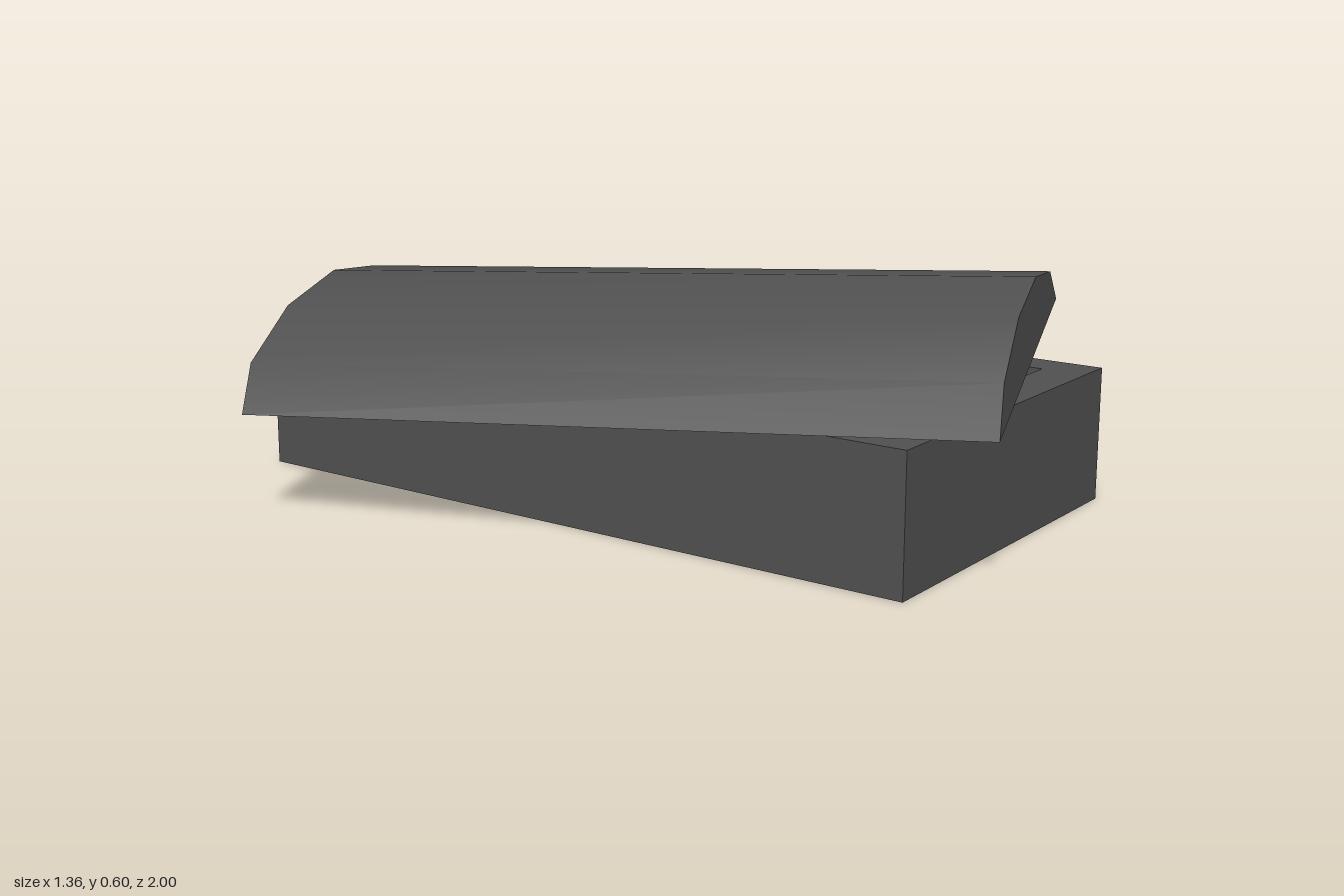
import * as THREE from 'three';

export function createModel() {
  const model = new THREE.Group();
  const stone = new THREE.MeshStandardMaterial({ color: 0x505050, side: THREE.DoubleSide });
  stone.name = 'dark stone';

  const add = (parent, geometry, name) => {
    const mesh = new THREE.Mesh(geometry, stone);
    mesh.name = name;
    parent.add(mesh);
    return mesh;
  };

  // Hollow coffer: outer wall, rim and inner wall as rectangular loops; open underneath between the walls
  const height = 0.325, floorY = 0.015;
  const outer = [-0.26, 0.68, -1, 0.84], inner = [-0.165, 0.585, -0.89, 0.73];
  const loop = ([x0, x1, z0, z1], y) => [[x0, y, z1], [x1, y, z1], [x1, y, z0], [x0, y, z0]];
  const band = (lower, upper) => {
    const positions = [];
    for (let i = 0; i < 4; i++) {
      const j = (i + 1) % 4;
      for (const p of [lower[i], lower[j], upper[j], lower[i], upper[j], upper[i]]) positions.push(...p);
    }
    const g = new THREE.BufferGeometry();
    g.setAttribute('position', new THREE.Float32BufferAttribute(positions, 3));
    g.computeVertexNormals();
    return g;
  };
  const coffer = new THREE.Group();
  coffer.name = 'coffer';
  add(coffer, band(loop(outer, 0), loop(outer, height)), 'outerWalls');
  add(coffer, band(loop(outer, height), loop(inner, height)), 'rim');
  add(coffer, band(loop(inner, height), loop(inner, floorY)), 'innerWalls');
  const floor = new THREE.PlaneGeometry(inner[1] - inner[0], inner[3] - inner[2]).rotateX(-Math.PI / 2);
  add(coffer, floor, 'cofferFloor').position.set((inner[0] + inner[1]) / 2, floorY, (inner[2] + inner[3]) / 2);
  model.add(coffer);

  // Arched hollow lid: smooth vault with flat end caps, open underneath
  const half = 0.87;
  const side = [[-0.408, 0], [-0.33, 0.097], [-0.123, 0.16]];
  const profile = [...side, ...side.map(([x, y]) => [-x, y]).reverse()];
  const positions = [], index = [];
  profile.forEach(([x, y], i) => {
    positions.push(x, y, half, x, y, -half);
    const a = 2 * i;
    if (i < profile.length - 1) index.push(a, a + 2, a + 1, a + 1, a + 2, a + 3);
  });
  const vault = new THREE.BufferGeometry();
  vault.setAttribute('position', new THREE.Float32BufferAttribute(positions, 3));
  vault.setIndex(index);
  vault.computeVertexNormals();

  const lid = new THREE.Group();
  lid.name = 'lid';
  add(lid, vault, 'lidVault');
  const capShape = new THREE.Shape(profile.map(([x, y]) => new THREE.Vector2(x, y)));
  for (const s of [1, -1]) {
    const cap = add(lid, new THREE.ShapeGeometry(capShape), s > 0 ? 'lidFrontEnd' : 'lidBackEnd');
    cap.position.z = s * half;
    if (s < 0) cap.rotation.y = Math.PI;
  }

  // Lid pushed askew: turned across the coffer and tipped over its side
  const along = new THREE.Vector3(0.52, 0.085, 1.655).normalize();
  const up = along.clone().cross(new THREE.Vector3(0.765, 0.15, -0.24)).normalize();
  const across = up.clone().cross(along);
  lid.quaternion.setFromRotationMatrix(new THREE.Matrix4().makeBasis(across, up, along));
  lid.position.set(-0.042, 0.378, 0.045);
  model.add(lid);

  return model;
}
